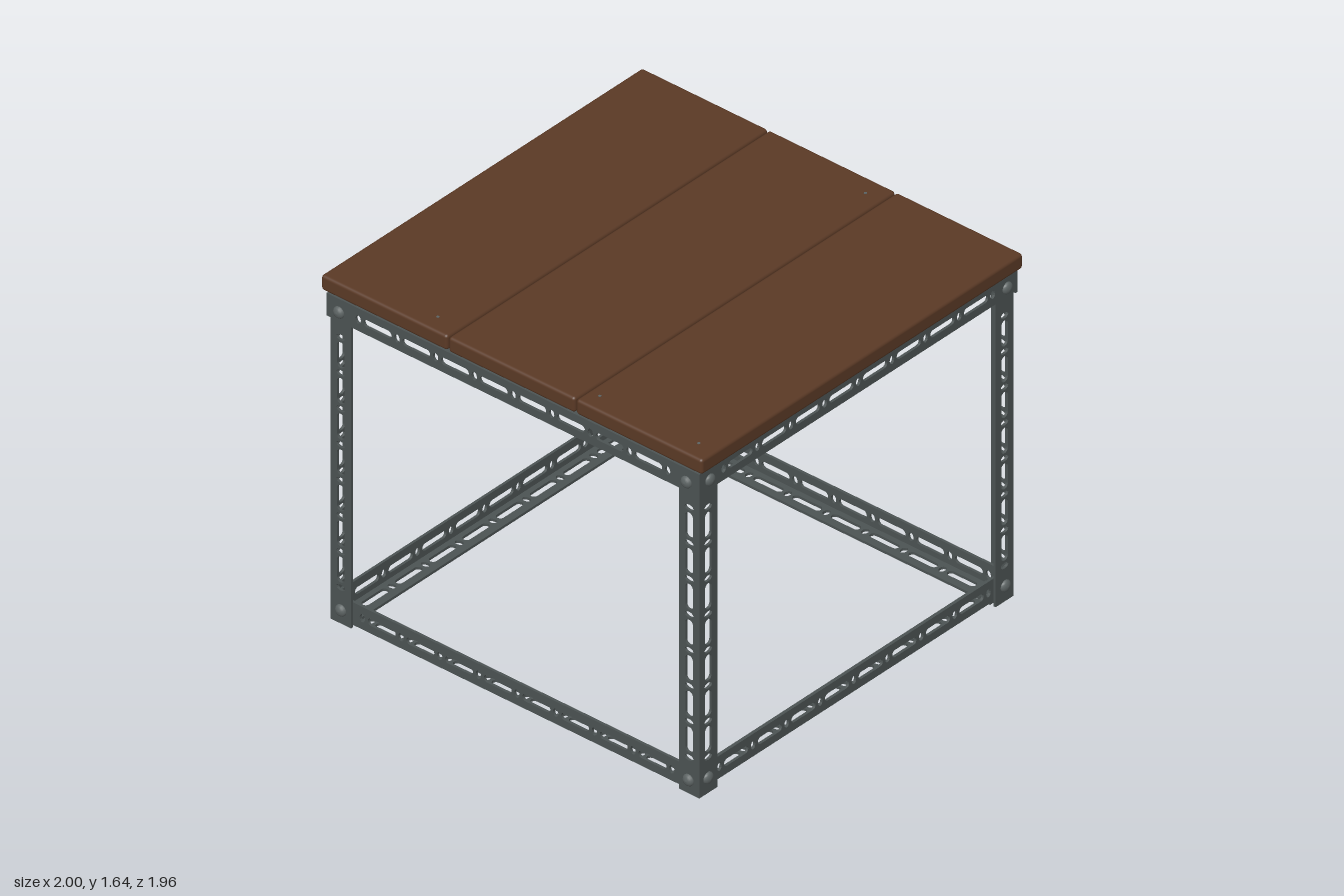
import * as THREE from 'three';
import { mergeGeometries } from 'three/addons/utils/BufferGeometryUtils.js';
import { RoundedBoxGeometry } from 'three/addons/geometries/RoundedBoxGeometry.js';

const W = 0.108, T = 0.012; // flange width and sheet thickness
const V = (x, y, z) => new THREE.Vector3(x, y, z);

// One flat strip perforated with alternating long slots and small ovals.
function stripGeometry(length, pitch, offset, slotWidth) {
  const h = length / 2, shape = new THREE.Shape();
  shape.moveTo(-h, 0);
  shape.lineTo(h, 0);
  shape.lineTo(h, W);
  shape.lineTo(-h, W);
  shape.closePath();
  const limit = h - 0.03, r = slotWidth / 2, c = W / 2, half = pitch * 0.36;
  for (let i = -10; i <= 10; i++) {
    const x = offset + i * pitch, mid = x + pitch / 2;
    if (Math.abs(x) + 0.015 < limit) {
      const oval = new THREE.Path();
      oval.absellipse(x, c, 0.014, slotWidth * 0.58, 0, Math.PI * 2);
      shape.holes.push(oval);
    }
    if (Math.abs(mid) + half < limit) {
      const slot = new THREE.Path();
      slot.absarc(mid + half - r, c, r, -Math.PI / 2, Math.PI / 2);
      slot.absarc(mid - half + r, c, r, Math.PI / 2, Math.PI * 1.5);
      slot.closePath();
      shape.holes.push(slot);
    }
  }
  return new THREE.ExtrudeGeometry(shape, { depth: T, bevelEnabled: false, curveSegments: 6 });
}

// L-shaped bar: runs along x, outer corner on the x axis.
function angleGeometry(length, pitch, offset, slotWidth) {
  const strip = stripGeometry(length, pitch, offset, slotWidth);
  const upright = strip.clone().translate(0, 0, -T);
  const flat = strip.clone().rotateX(-Math.PI / 2);
  return mergeGeometries([upright, flat]);
}

export function createModel() {
  const model = new THREE.Group();
  const mat = (name, color) => {
    const m = new THREE.MeshStandardMaterial({ color });
    m.name = name;
    return m;
  };
  const wood = mat('brown wood', 0x5a3925);
  const steel = mat('dark steel', 0x4c5353);
  const boltSteel = mat('bolt steel', 0x5c6363);

  const add = (name, geometry, material, parent = model) => {
    const mesh = new THREE.Mesh(geometry, material);
    mesh.name = name;
    parent.add(mesh);
    return mesh;
  };

  // Table top: three planks
  for (let i = -1; i <= 1; i++) {
    add('plank', new RoundedBoxGeometry(0.662, 0.072, 1.94, 3, 0.014), wood)
      .position.set(i * 0.669, 1.606, 0);
  }

  // Places an angle bar: up is the first flange's direction, out its outer normal.
  const bar = (name, corner, up, out, length, pitch, offset, slotWidth) => {
    const along = up.clone().cross(out);
    const sign = along.x + along.y + along.z;
    const mesh = add(name, angleGeometry(length, pitch, offset * sign, slotWidth), steel);
    mesh.quaternion.setFromRotationMatrix(new THREE.Matrix4().makeBasis(along, up, out));
    mesh.position.copy(corner);
  };

  // Legs at the four corners
  for (const sx of [-1, 1]) for (const sz of [-1, 1]) {
    bar('leg', V(sx * 0.968, 0.772, sz * 0.948), V(-sx, 0, 0), V(0, 0, sz), 1.544, 0.171, 0.084, 0.04);
  }

  // Rails: the upper ones outside the legs, the lower ones inside
  for (const s of [-1, 1]) {
    const shift = s > 0 ? 0 : 0.045;
    const up = V(0, 1, 0), down = V(0, -1, 0);
    bar('topRail', V(0, 1.56, s * 0.96), down, V(0, 0, s), 1.956, 0.203, shift, 0.034);
    bar('topSideRail', V(s * 0.978, 1.568, 0), down, V(s, 0, 0), 1.894, 0.203, shift, 0.034);
    bar('bottomRail', V(0, 0.01, s * 0.935), up, V(0, 0, s), 1.9, 0.203, shift, 0.034);
    bar('bottomSideRail', V(s * 0.955, 0.0225, 0), up, V(s, 0, 0), 1.84, 0.203, shift, 0.034);
  }

  // Round-headed bolts with hexagonal nuts on the inside
  const head = new THREE.LatheGeometry(
    [[0.027, 0], [0.027, 0.005], [0.022, 0.012], [0.012, 0.017], [0, 0.019]]
      .map(([x, y]) => new THREE.Vector2(x, y)), 16);
  const shank = new THREE.CylinderGeometry(0.012, 0.012, 0.065, 12).translate(0, -0.0325, 0);
  const nut = new THREE.CylinderGeometry(0.023, 0.023, 0.018, 6).translate(0, -0.035, 0);
  const bolt = (position, out) => {
    const group = new THREE.Group();
    group.name = 'bolt';
    add('boltHead', head, boltSteel, group);
    add('boltShank', shank, boltSteel, group);
    add('boltNut', nut, boltSteel, group);
    group.position.copy(position);
    group.quaternion.setFromUnitVectors(V(0, 1, 0), out);
    model.add(group);
  };
  for (const sx of [-1, 1]) for (const sz of [-1, 1]) {
    bolt(V(sx * 0.912, 1.497, sz * 0.96), V(0, 0, sz));
    bolt(V(sx * 0.912, 0.065, sz * 0.948), V(0, 0, sz));
    bolt(V(sx * 0.978, 1.505, sz * 0.897), V(sx, 0, 0));
    bolt(V(sx * 0.968, 0.075, sz * 0.897), V(sx, 0, 0));
  }

  // Plank screws driven up through the rails, a few tips just showing on top
  const screw = new THREE.CylinderGeometry(0.007, 0.007, 0.105, 8);
  for (const [x, z] of [[-0.455, 0.89], [0.395, 0.89], [0.91, 0.885], [0.25, -0.88]]) {
    add('screw', screw, boltSteel).position.set(x, 1.591, z);
  }
  return model;
}
